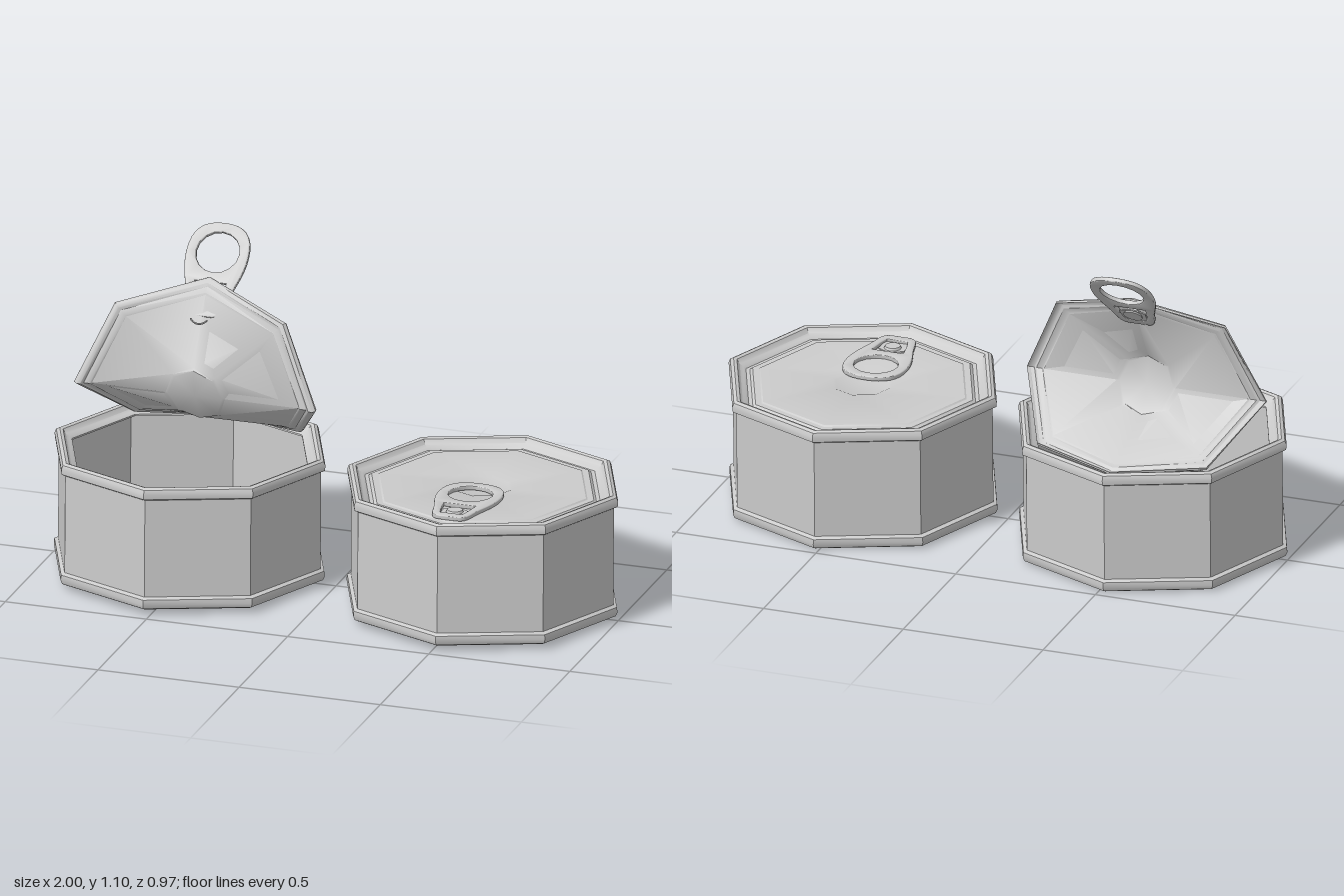
import * as THREE from 'three';
import { toCreasedNormals } from 'three/addons/utils/BufferGeometryUtils.js';

const material = new THREE.MeshStandardMaterial({ color: 0xcccccc, side: THREE.DoubleSide });
const HEIGHT = 0.434;
const TILT = -0.02;

// End of a can from seam to centre: [radius, depth below the rim's top]
const END = [
  [0.465, 0.045], [0.478, 0.038], [0.48, 0.02], [0.474, 0.006], [0.462, 0], [0.45, 0.004],
  [0.44, 0.02], [0.428, 0.026], [0.418, 0.034], [0.404, 0.034], [0.394, 0.026],
  [0.372, 0.026], [0.366, 0.022], [0.105, 0.022], [0.095, 0.026], [0, 0.026],
];
const topEnd = END.map(([r, d]) => [r, HEIGHT - d]);
const bottomEnd = [...END].reverse();

function mesh(name, geometry, parent) {
  const m = new THREE.Mesh(geometry, material);
  m.name = name;
  parent.add(m);
  return m;
}

// Eight-sided turned shape
function octagonLathe(points) {
  return new THREE.LatheGeometry(points.map(([r, y]) => new THREE.Vector2(r, y)), 8);
}

// Ring pull lying in the xy plane, its tail at y = 0 and its ring at the top
function makeTab() {
  const tab = new THREE.Group();
  tab.name = 'ringPull';
  const plate = new THREE.Shape();
  plate.moveTo(-0.03, 0.004);
  plate.lineTo(0.03, 0.004);
  plate.bezierCurveTo(0.055, 0.006, 0.06, 0.02, 0.068, 0.06);
  plate.bezierCurveTo(0.08, 0.12, 0.106, 0.16, 0.106, 0.23);
  plate.bezierCurveTo(0.106, 0.31, 0.07, 0.34, 0, 0.34);
  plate.bezierCurveTo(-0.07, 0.34, -0.106, 0.31, -0.106, 0.23);
  plate.bezierCurveTo(-0.106, 0.16, -0.08, 0.12, -0.068, 0.06);
  plate.bezierCurveTo(-0.06, 0.02, -0.055, 0.006, -0.03, 0.004);
  const finger = new THREE.Path();
  finger.absellipse(0, 0.236, 0.08, 0.078, 0, Math.PI * 2, true);
  const slot = new THREE.Path();
  slot.moveTo(-0.06, 0.13);
  slot.lineTo(0.06, 0.13);
  slot.quadraticCurveTo(0.052, 0.06, 0.04, 0.03);
  slot.lineTo(-0.04, 0.03);
  slot.quadraticCurveTo(-0.052, 0.06, -0.06, 0.13);
  plate.holes.push(finger, slot);
  const plateGeometry = new THREE.ExtrudeGeometry(plate, {
    depth: 0.008, bevelThickness: 0.004, bevelSize: 0.004, bevelSegments: 2, curveSegments: 8,
  });
  mesh('pullRing', toCreasedNormals(plateGeometry, 0.8), tab).position.z = 0.004;

  // Tongue that holds the rivet inside the slot
  const tongue = new THREE.Shape();
  tongue.moveTo(-0.042, 0.028);
  tongue.lineTo(0.042, 0.028);
  tongue.lineTo(0.046, 0.09);
  tongue.quadraticCurveTo(0, 0.13, -0.046, 0.09);
  mesh('rivetTongue', new THREE.ExtrudeGeometry(tongue, {
    depth: 0.004, bevelEnabled: false, curveSegments: 6,
  }), tab).position.z = 0.002;
  const rivet = mesh('rivet', new THREE.CylinderGeometry(0.026, 0.034, 0.018, 10), tab);
  rivet.rotation.x = Math.PI / 2;
  rivet.position.set(0, 0.075, 0.005);
  return tab;
}

// Bend of the peeled lid: [distance from its middle, z, y]
const BEND = [
  [-0.43, -0.42, 0.42], [-0.3, -0.3, 0.435], [-0.09, -0.11, 0.51], [0, -0.065, 0.6],
  [0.09, -0.045, 0.69], [0.3, -0.12, 0.87], [0.43, -0.22, 0.965],
];
function bendPoint(t) {
  let i = 1;
  while (i < BEND.length - 1 && t > BEND[i][0]) i++;
  const [t0, z0, y0] = BEND[i - 1], [t1, z1, y1] = BEND[i];
  const k = (t - t0) / (t1 - t0);
  return [z0 + (z1 - z0) * k, y0 + (y1 - y0) * k];
}

function makePeeledLid() {
  const top = END.slice(7).map(([r, d]) => [r, 0.026 - d]);
  const underside = top.map(([r, h]) => [r, h - 0.008]).reverse();
  const geometry = octagonLathe([...underside, ...top]);
  const p = geometry.attributes.position;
  for (let i = 0; i < p.count; i++) {
    const t = p.getZ(i), h = p.getY(i);
    const [z, y] = bendPoint(t);
    const [za, ya] = bendPoint(t - 0.02), [zb, yb] = bendPoint(t + 0.02);
    const length = Math.hypot(zb - za, yb - ya);
    // Offset the sheet's thickness along the bend's normal
    p.setZ(i, z - h * (yb - ya) / length);
    p.setY(i, y + h * (zb - za) / length);
  }
  return toCreasedNormals(geometry, 0.7);
}

export function createModel() {
  const model = new THREE.Group();
  model.name = 'twoCans';

  // Closed can
  const closed = new THREE.Group();
  closed.name = 'closedCan';
  closed.position.set(0.517, 0.0125, 0);
  closed.rotation.x = TILT;
  mesh('closedCanBody', toCreasedNormals(octagonLathe([...bottomEnd, ...topEnd]), 0.6), closed);
  const closedTab = makeTab();
  closedTab.position.set(0, HEIGHT - 0.022, 0.363);
  closedTab.rotation.x = -Math.PI / 2;
  closed.add(closedTab);
  model.add(closed);

  // Open can with inner wall and floor
  const open = new THREE.Group();
  open.name = 'openCan';
  open.position.set(-0.52, 0.0125, 0);
  open.rotation.x = TILT;
  const inside = [
    [0.418, HEIGHT - 0.04], [0.45, HEIGHT - 0.05], [0.45, 0.032], [0.418, 0.04], [0.404, 0.04],
    [0.394, 0.032], [0.366, 0.028], [0.105, 0.028], [0.095, 0.032], [0, 0.032],
  ];
  const openProfile = [...bottomEnd, ...topEnd.slice(0, 9), ...inside];
  mesh('openCanBody', toCreasedNormals(octagonLathe(openProfile), 0.6), open);
  model.add(open);

  // Peeled lid and its raised ring pull
  const lid = new THREE.Group();
  lid.name = 'peeledLid';
  lid.position.x = -0.52;
  mesh('bentLidSheet', makePeeledLid(), lid);
  const openTab = makeTab();
  openTab.position.set(0, 0.848, -0.142);
  openTab.rotation.x = -0.755;
  lid.add(openTab);
  // Rivet dimple on the lid's underside
  const dimple = mesh('rivetDimple', new THREE.TorusGeometry(0.035, 0.003, 4, 8, 2), lid);
  dimple.position.set(0, 0.877, -0.106);
  dimple.rotation.set(-0.4, 0, Math.PI + 0.57);
  model.add(lid);

  return model;
}
